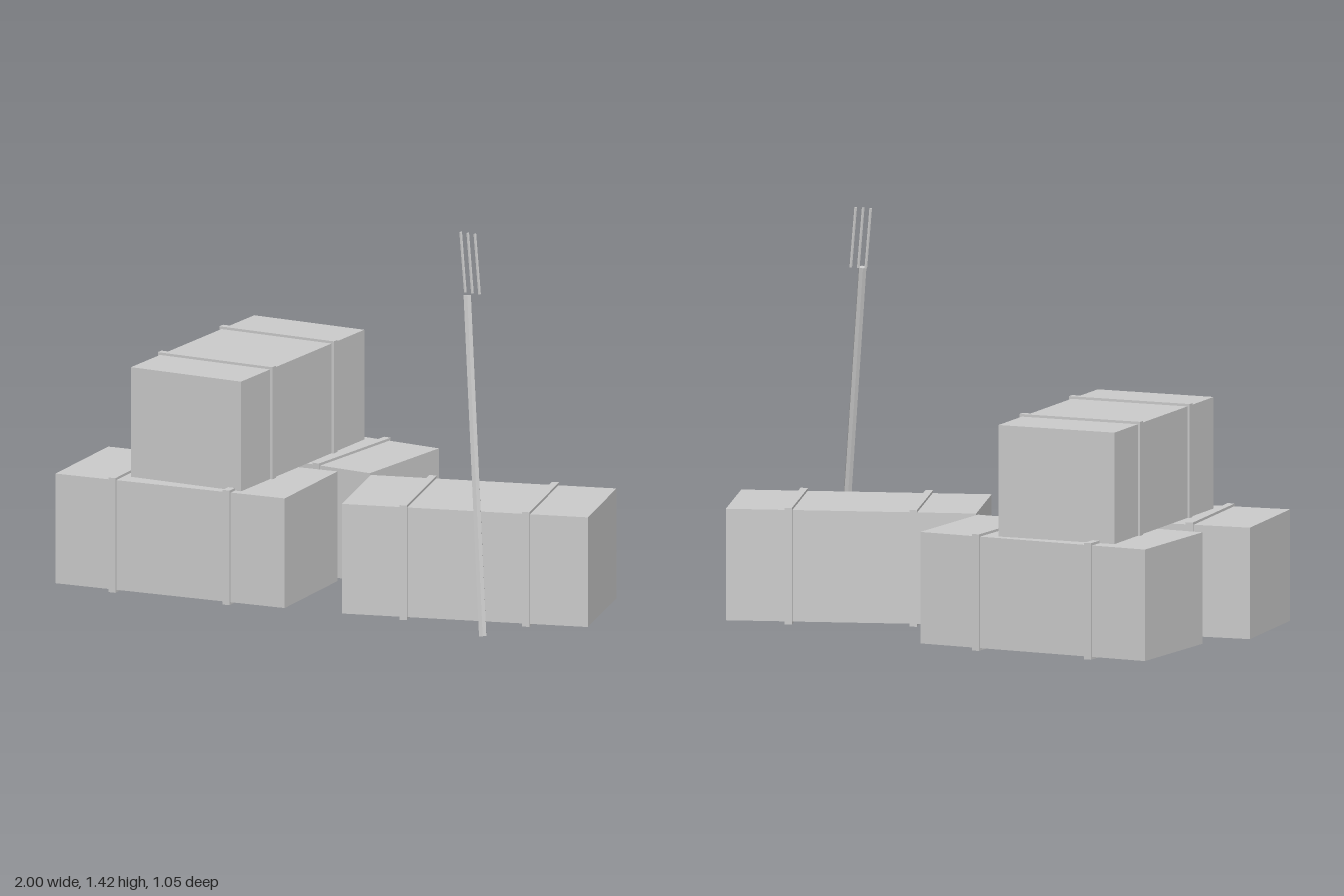
import * as THREE from 'three';

const grey = new THREE.MeshStandardMaterial({ color: 0xcccccc, flatShading: true });
grey.name = 'plain grey';

// A rectangular bale with two straps wrapped round it, long axis along local x
function makeBale(name, x, y, z, turn) {
  const bale = new THREE.Group();
  bale.name = name;
  const body = new THREE.Mesh(new THREE.BoxGeometry(0.89, 0.398, 0.445), grey);
  body.name = 'baleBody';
  bale.add(body);
  for (const side of [-1, 1]) {
    const strap = new THREE.Mesh(new THREE.BoxGeometry(0.027, 0.416, 0.463), grey);
    strap.name = 'baleStrap';
    strap.position.x = side * 0.222;
    bale.add(strap);
  }
  bale.position.set(x, y, z);
  bale.rotation.y = turn;
  return bale;
}

// A thin faceted rod between two points
function makeRod(name, from, to, radius) {
  const a = new THREE.Vector3(...from), b = new THREE.Vector3(...to);
  const dir = b.clone().sub(a);
  const geometry = new THREE.CylinderGeometry(radius, radius, dir.length(), 6);
  geometry.rotateY(Math.PI / 6);
  const rod = new THREE.Mesh(geometry, grey);
  rod.name = name;
  rod.position.copy(a).add(b).multiplyScalar(0.5);
  rod.quaternion.setFromUnitVectors(new THREE.Vector3(0, 1, 0), dir.normalize());
  return rod;
}

export function createModel() {
  const model = new THREE.Group();
  model.name = 'hayBales';

  // Three bales on the ground, one laid across two of them
  model.add(
    makeBale('backBale', -0.435, 0.208, -0.287, -0.05),
    makeBale('frontBale', -0.535, 0.208, 0.257, 0.098),
    makeBale('sideBale', 0.505, 0.208, 0.059, 0.3),
    makeBale('topBale', -0.488, 0.606, -0.02, 1.59),
  );

  // Leaning pitchfork with three tines
  const fork = new THREE.Group();
  fork.name = 'pitchfork';
  fork.add(makeRod('handle', [0.752, 0.013, 0.457], [0.604, 1.202, 0.312], 0.015));
  for (const i of [-1, 0, 1]) {
    const x = 0.607 + i * 0.029;
    fork.add(makeRod('tine', [x, 1.203, 0.281], [x - 0.019, 1.419, 0.281], 0.0055));
  }
  model.add(fork);
  return model;
}
